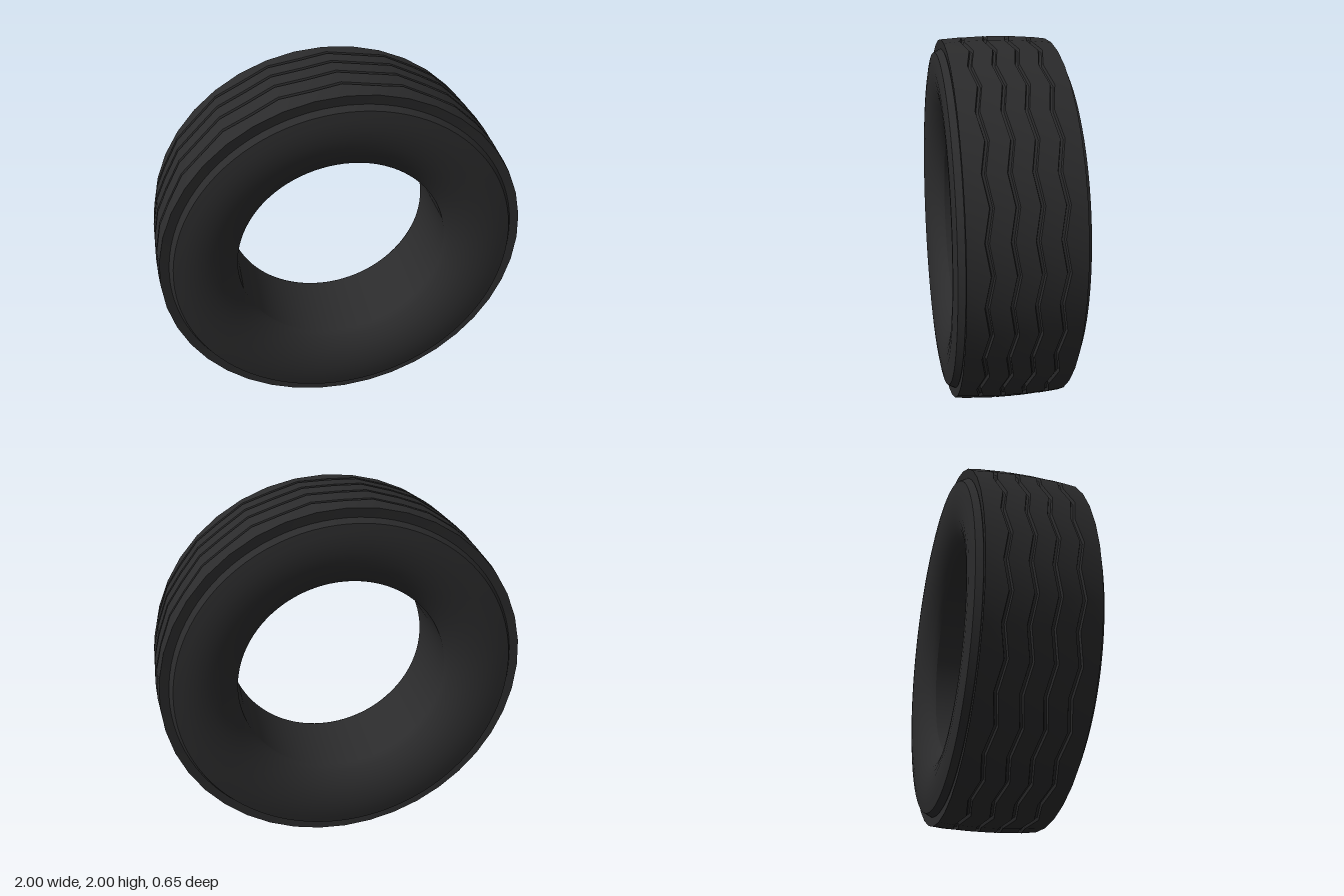
import * as THREE from 'three';
import { toCreasedNormals } from 'three/addons/utils/BufferGeometryUtils.js';

const SEGMENTS = 40; // one straight zigzag stroke per segment

// Sweeps a cross-section of [radius, z, zigzag] points round the z axis
function sweep(profile, segments) {
  const pos = [], index = [], n = profile.length;
  for (let i = 0; i < segments; i++) {
    const a = (i / segments) * Math.PI * 2;
    const side = i % 2 ? 1 : -1;
    for (const [r, z, zig = 0] of profile) {
      pos.push(r * Math.sin(a), r * Math.cos(a), z + zig * side);
    }
  }
  for (let i = 0; i < segments; i++) {
    const p = i * n, q = ((i + 1) % segments) * n;
    for (let j = 0; j < n - 1; j++) {
      index.push(p + j, p + j + 1, q + j, q + j, p + j + 1, q + j + 1);
    }
  }
  const g = new THREE.BufferGeometry();
  g.setAttribute('position', new THREE.Float32BufferAttribute(pos, 3));
  g.setIndex(index);
  return toCreasedNormals(g, 0.5);
}

// Gently crowned running surface with four zigzag grooves
function treadProfile() {
  const crown = (z) => 1 - 0.19 * z * z;
  const points = [[0.925, -0.274], [crown(0.282), -0.282]];
  for (const z of [-0.175, -0.057, 0.057, 0.175]) {
    const r = crown(z), zig = 0.014;
    points.push(
      [r, z - 0.011, zig], [r - 0.016, z - 0.006, zig],
      [r - 0.016, z + 0.006, zig], [r, z + 0.011, zig],
    );
  }
  points.push([crown(0.282), 0.282], [0.925, 0.274]);
  return points;
}

// Sidewall from the groove below the tread shoulder to the bead
const SIDEWALL = [
  [0.92, 0.27], [0.935, 0.279], [0.916, 0.313], [0.87, 0.321], [0.82, 0.325],
  [0.77, 0.322], [0.72, 0.313], [0.67, 0.296], [0.63, 0.273],
  [0.6, 0.25], [0.583, 0.232], [0.575, 0.218],
];

export function createModel() {
  const rubber = new THREE.MeshStandardMaterial({ color: 0x2b2b2c });
  rubber.name = 'blackRubber';

  const tyre = new THREE.Group();
  tyre.name = 'tyre';
  const add = (name, profile, segments) => {
    const mesh = new THREE.Mesh(sweep(profile, segments), rubber);
    mesh.name = name;
    mesh.position.y = 1;
    tyre.add(mesh);
  };

  add('tread', treadProfile().reverse().map((p) => p).reverse(), SEGMENTS);
  add('frontSidewall', SIDEWALL, 96);
  add('backSidewall', SIDEWALL.map(([r, z]) => [r, -z]).reverse(), 96);
  // Inner bore between the two beads
  add('bore', [[0.575, 0.218], [0.575, -0.218]], 96);
  return tyre;
}
